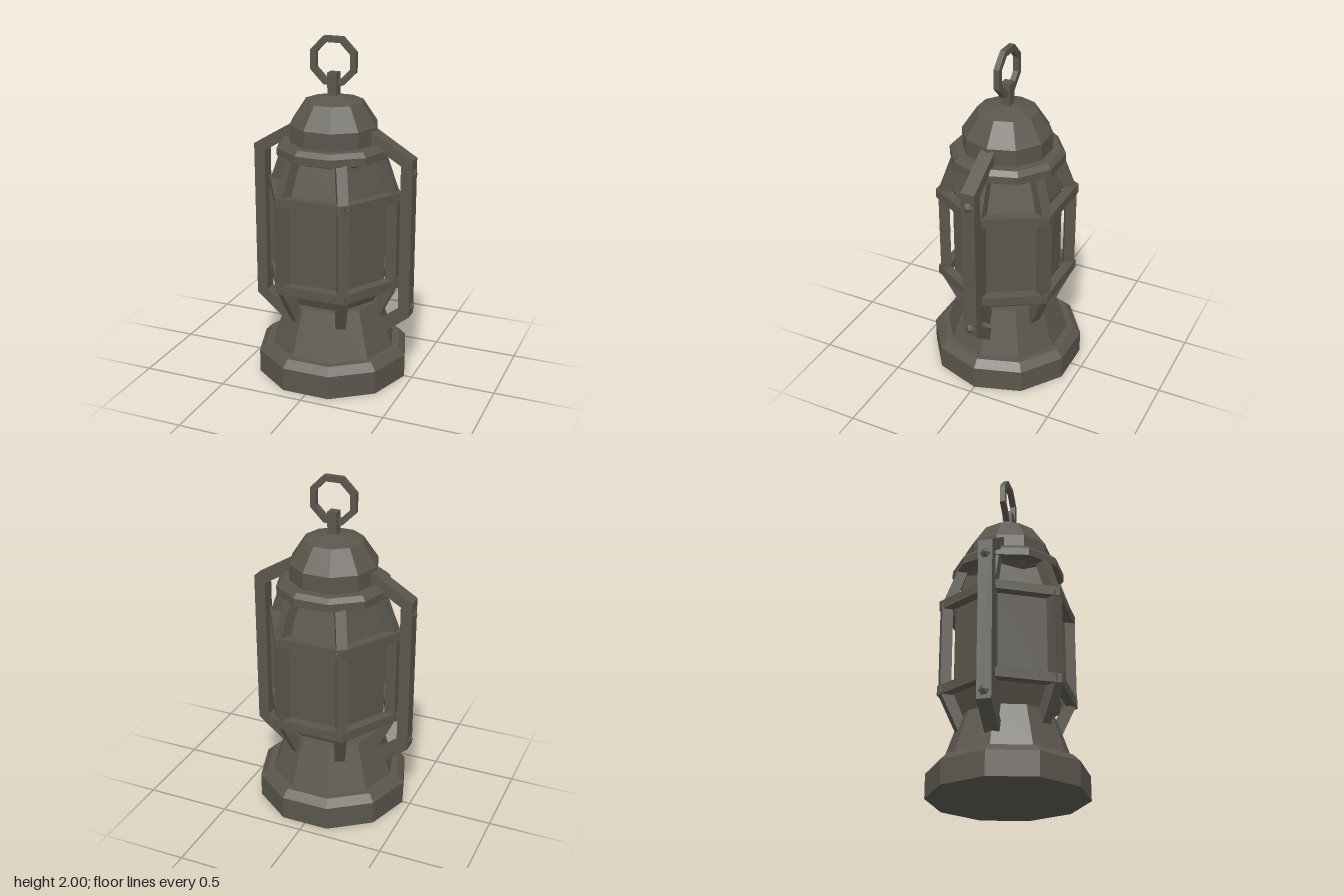
import * as THREE from 'three';

export function createModel() {
  const model = new THREE.Group();
  model.name = 'lantern';
  const iron = new THREE.MeshStandardMaterial({ color: 0x5a564d, flatShading: true });
  iron.name = 'dark iron';

  const add = (name, geometry, parent = model) => {
    const mesh = new THREE.Mesh(geometry, iron);
    mesh.name = name;
    parent.add(mesh);
    return mesh;
  };
  // Faceted turned part with one corner on the x axis
  const turned = (name, sides, profile) =>
    add(name, new THREE.LatheGeometry(profile.map(p => new THREE.Vector2(...p)), sides, Math.PI / 2));
  // Flat outline extruded evenly about z = 0
  const plate = (shape, depth) =>
    new THREE.ExtrudeGeometry(shape, { depth, bevelEnabled: false }).translate(0, 0, -depth / 2);
  const outline = points => new THREE.Shape(points.map(p => new THREE.Vector2(...p)));
  const polygon = (sides, radius, turn = 0) => Array.from({ length: sides }, (_, i) => {
    const a = turn + (i / sides) * Math.PI * 2;
    return [radius * Math.cos(a), radius * Math.sin(a)];
  });
  const polygonRing = (sides, outer, inner, turn, depth) => {
    const shape = outline(polygon(sides, outer, turn));
    shape.holes.push(outline(polygon(sides, inner, turn)));
    return plate(shape, depth);
  };

  // Ten-sided foot with its flared neck
  turned('base', 10, [[0, 0], [0.453, 0], [0.453, 0.14], [0.41, 0.183], [0.37, 0.183],
    [0.275, 0.455], [0, 0.455]]);

  // Six-sided lamp body, tapered at both ends
  turned('lampBody', 6, [[0, 0.45], [0.25, 0.45], [0.315, 0.58], [0.315, 1.13], [0.25, 1.34], [0, 1.34]]);

  // Domed ten-sided cap with a brim
  turned('cap', 10, [[0, 1.265], [0.2, 1.265], [0.265, 1.34], [0.33, 1.34], [0.33, 1.385],
    [0.305, 1.412], [0.256, 1.412], [0.256, 1.51], [0.17, 1.64], [0, 1.68]]);

  // Cage: two hexagonal hoops and six bent bars
  for (const [name, y] of [['lowerHoop', 0.593], ['upperHoop', 1.118]]) {
    add(name, polygonRing(6, 0.41, 0.345, 0, 0.055).rotateX(-Math.PI / 2)).position.y = y;
  }
  const barShape = outline([[0.225, 0.355], [0.29, 0.355], [0.397, 0.58], [0.397, 1.12],
    [0.305, 1.37], [0.245, 1.37], [0.335, 1.1], [0.335, 0.6]]);
  for (let i = 0; i < 6; i++) {
    add('cageBar', plate(barShape, 0.06)).rotation.y = (i * Math.PI) / 3;
  }

  // Side brackets with two pointed bolts each
  const bracketShape = outline([[0.28, 0.25], [0.325, 0.275], [0.485, 0.405], [0.485, 1.348],
    [0.235, 1.5], [0.235, 1.42], [0.418, 1.312], [0.418, 0.435], [0.28, 0.33]]);
  for (const [name, turn] of [['leftBracket', 0], ['rightBracket', Math.PI]]) {
    const bracket = new THREE.Group();
    bracket.name = name;
    bracket.rotation.y = turn;
    model.add(bracket);
    add('bracketBar', plate(bracketShape, 0.082), bracket);
    for (const y of [0.455, 1.265]) {
      const bolt = new THREE.ConeGeometry(0.036, 0.022, 6).rotateZ(-Math.PI / 2);
      add('bolt', bolt, bracket).position.set(0.493, y, 0);
    }
  }

  // Hanging post and octagonal ring
  add('ringPost', new THREE.BoxGeometry(0.056, 0.15, 0.056)).position.y = 1.725;
  add('hangingRing', polygonRing(8, 0.147, 0.11, Math.PI / 8, 0.032)).position.y = 1.864;

  return model;
}
